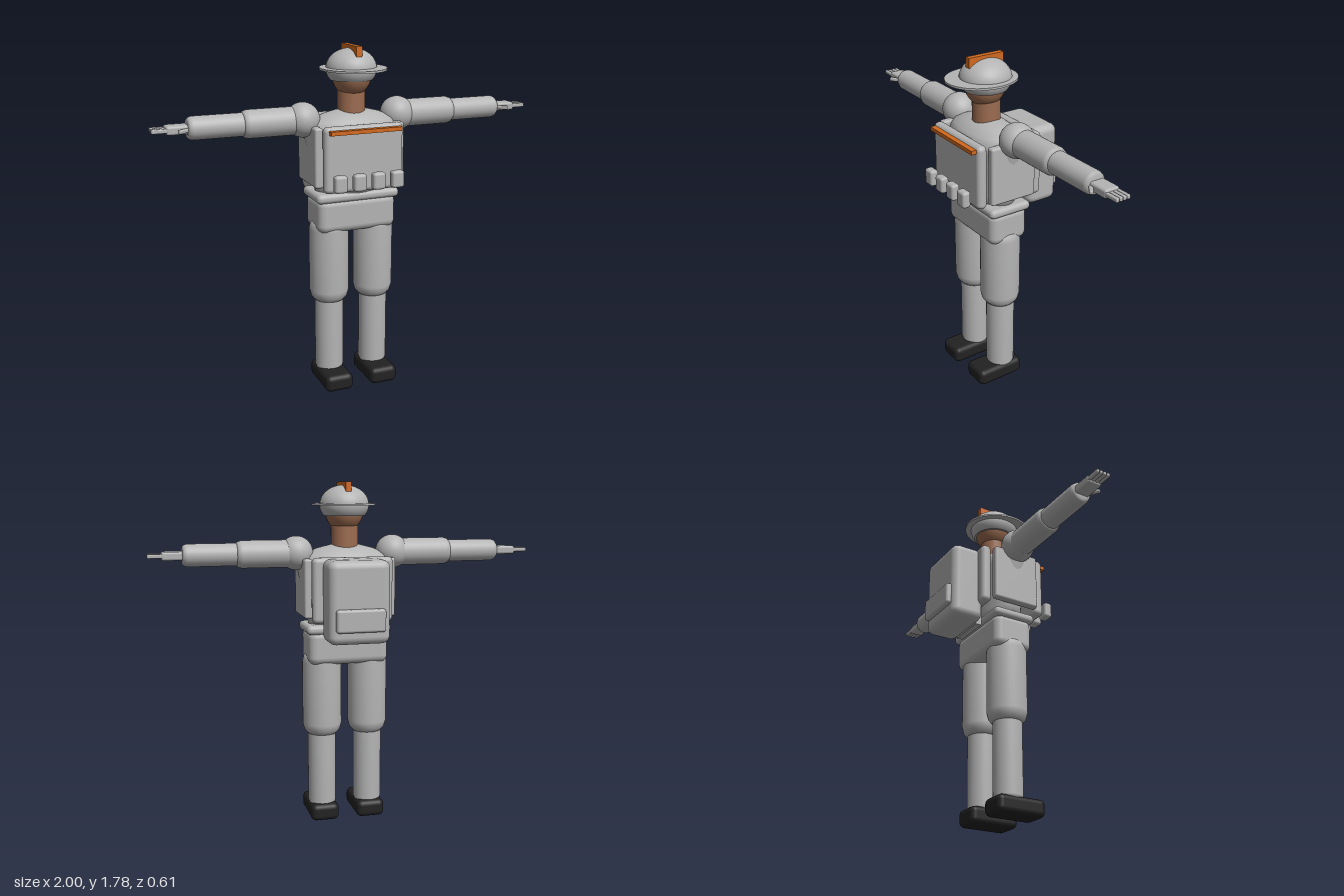
import * as THREE from 'three';
import { RoundedBoxGeometry } from 'three/addons/geometries/RoundedBoxGeometry.js';

export function createModel() {
  const model = new THREE.Group();
  model.name = 'fieldFigure';
  const mat = (name, color) => {
    const m = new THREE.MeshStandardMaterial({ color });
    m.name = name;
    return m;
  };
  const grey = mat('grey cloth', 0xb4b4b4);
  const skin = mat('skin', 0x9c6c50);
  const orange = mat('orange trim', 0xd2691e);
  const black = mat('black boot', 0x222222);

  const add = (name, geometry, material, x = 0, y = 0, z = 0) => {
    const mesh = new THREE.Mesh(geometry, material);
    mesh.name = name;
    mesh.position.set(x, y, z);
    model.add(mesh);
    return mesh;
  };
  // Box given by its limits on each axis, with rounded edges when r > 0
  const box = (name, material, [x0, x1], [y0, y1], [z0, z1], r = 0) => {
    const size = [x1 - x0, y1 - y0, z1 - z0];
    const g = r ? new RoundedBoxGeometry(...size, 3, r) : new THREE.BoxGeometry(...size);
    return add(name, g, material, (x0 + x1) / 2, (y0 + y1) / 2, (z0 + z1) / 2);
  };
  const lathe = (points) =>
    new THREE.LatheGeometry(points.map(([r, y]) => new THREE.Vector2(r, y)), 32);
  // Round limb from y = 0 up to len, with softened ends
  const limb = (r, len, end) => lathe([
    [0, 0], [r * 0.75, 0], [r * 0.92, end * 0.4], [r, end],
    [r, len - end], [r * 0.92, len - end * 0.4], [r * 0.75, len], [0, len],
  ]);

  // Torso and hips
  const torso = add('torso', lathe([
    [0, 1.03], [0.19, 1.03], [0.2, 1.1], [0.22, 1.22], [0.25, 1.34],
    [0.252, 1.38], [0.22, 1.415], [0.15, 1.445], [0.07, 1.465], [0, 1.465],
  ]), grey, 0, 0, 0.05);
  torso.scale.z = 0.56;
  box('pelvis', grey, [-0.21, 0.21], [0.85, 1.03], [-0.06, 0.155], 0.04);
  box('belt', grey, [-0.222, 0.222], [1.012, 1.06], [-0.07, 0.165], 0.022);

  // Vest plates
  box('frontPlate', grey, [-0.208, 0.208], [1.08, 1.41], [0.178, 0.232], 0.024);
  box('backPlate', grey, [-0.208, 0.208], [1.08, 1.41], [-0.14, -0.085], 0.024);
  box('chestStripe', orange, [-0.187, 0.187], [1.375, 1.395], [0.228, 0.258]);
  for (const x of [-0.15, -0.05, 0.05, 0.15]) {
    box('pouch', grey, [x - 0.033, x + 0.033], [1.1, 1.185], [0.26, 0.305], 0.014);
  }

  // Backpack
  box('backpack', grey, [-0.157, 0.157], [0.99, 1.405], [-0.28, -0.105], 0.04);
  box('backpackPocket', grey, [-0.125, 0.125], [1.055, 1.17], [-0.305, -0.26], 0.014);
  box('backpackFrame', grey, [-0.1, 0.1], [0.99, 1.12], [-0.118, -0.086]);

  // Head and helmet
  add('neck', new THREE.CylinderGeometry(0.07, 0.07, 0.16, 32), skin, 0, 1.51, 0.05);
  add('head', new THREE.SphereGeometry(1, 32, 20), skin, 0, 1.645, 0.055)
    .scale.set(0.1, 0.12, 0.107);
  add('helmet', new THREE.SphereGeometry(1, 32, 20, 0, Math.PI * 2, 0, 2.15), grey, 0, 1.665, 0.053)
    .scale.set(0.127, 0.1, 0.13);
  add('helmetUnderside', new THREE.CircleGeometry(1, 32).rotateX(Math.PI / 2), grey, 0, 1.611, 0.053)
    .scale.set(0.106, 1, 0.109);
  add('helmetBrim', new THREE.CylinderGeometry(1, 1, 0.01, 40), grey, 0, 1.667, 0.076)
    .scale.set(0.165, 1, 0.184);
  box('helmetCrest', orange, [-0.015, 0.015], [1.73, 1.78], [-0.042, 0.155]);

  for (const s of [1, -1]) {
    const span = (a, b) => (s > 0 ? [a, b] : [-b, -a]);
    const side = s > 0 ? 'left' : 'right';

    // Side plate of the vest
    box(side + 'SidePlate', grey, span(0.195, 0.238), [1.1, 1.4], [-0.08, 0.175], 0.012);

    // Leg
    add(side + 'Thigh', limb(0.103, 0.44, 0.055), grey, s * 0.123, 0.47, 0.05);
    add(side + 'Shin', limb(0.074, 0.46, 0.025), grey, s * 0.125, 0.07, 0.05);
    box(side + 'Boot', black, span(0.05, 0.2), [0, 0.09], [-0.045, 0.22], 0.028);

    // Arm, laid out sideways
    const arm = (name, r, x, len, end) => {
      add(side + name, limb(r, len, end), grey, s * x, 1.422, 0.042).rotation.z = -s * Math.PI / 2;
    };
    add(side + 'Shoulder', new THREE.SphereGeometry(0.087, 28, 18), grey, s * 0.255, 1.424, 0.045);
    arm('UpperArm', 0.07, 0.22, 0.345, 0.03);
    arm('Forearm', 0.057, 0.535, 0.295, 0.025);

    // Hand with four fingers and a thumb
    box(side + 'Hand', grey, span(0.81, 0.932), [1.4, 1.443], [0, 0.08], 0.012);
    for (let i = 0; i < 4; i++) {
      const z = 0.01 + i * 0.02;
      box(side + 'Finger', grey, span(0.915, 1), [1.412, 1.433], [z - 0.009, z + 0.009], 0.006);
    }
    const thumb = add(side + 'Thumb', new RoundedBoxGeometry(0.065, 0.02, 0.02, 2, 0.007),
      grey, s * 0.853, 1.42, 0.092);
    thumb.rotation.y = -s * 0.65;
  }
  return model;
}
